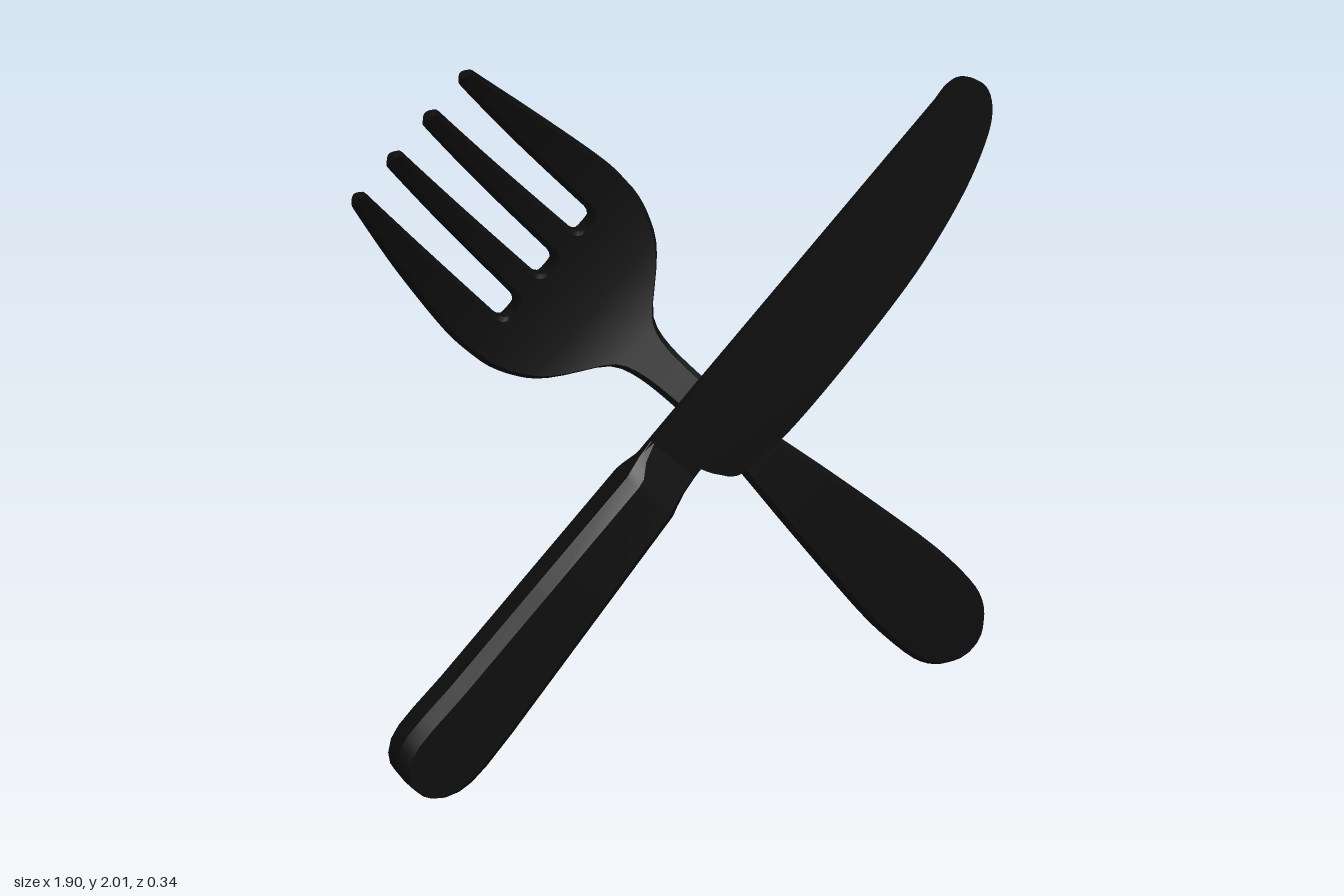
import * as THREE from 'three';
import { toCreasedNormals } from 'three/addons/utils/BufferGeometryUtils.js';

// Smooth interpolation through [x, y] pairs
function at(p, x) {
  let i = 0;
  while (i < p.length - 2 && x > p[i + 1][0]) i++;
  const slope = (k) => {
    const a = p[Math.max(k - 1, 0)], b = p[Math.min(k + 1, p.length - 1)];
    return (b[1] - a[1]) / (b[0] - a[0]);
  };
  const h = p[i + 1][0] - p[i][0];
  const f = THREE.MathUtils.clamp((x - p[i][0]) / h, 0, 1), g = 1 - f;
  return p[i][1] * (1 + 2 * f) * g * g + p[i + 1][1] * f * f * (3 - 2 * f)
    + h * f * g * (slope(i) * g - slope(i + 1) * f);
}

// Loft of bevelled rectangles { t, s0, s1, z0, z1 } along a direction in the front plane
function loft(sections, origin, angle, bevel) {
  const ux = Math.cos(angle), uy = Math.sin(angle);
  const pos = [], idx = [], n = 8;
  for (const { t, s0, s1, z0, z1 } of sections) {
    const b = Math.min(bevel, (s1 - s0) * 0.3, (z1 - z0) * 0.3);
    const ring = [[s1, z0 + b], [s1, z1 - b], [s1 - b, z1], [s0 + b, z1],
      [s0, z1 - b], [s0, z0 + b], [s0 + b, z0], [s1 - b, z0]];
    for (const [s, z] of ring) pos.push(origin[0] + t * ux - s * uy, origin[1] + t * uy + s * ux, z);
  }
  const last = (sections.length - 1) * n;
  for (let r = 0; r < last; r += n) {
    for (let j = 0; j < n; j++) {
      const a = r + j, b = r + (j + 1) % n;
      idx.push(a, b, a + n, b, b + n, a + n);
    }
  }
  for (let j = 1; j < n - 1; j++) idx.push(0, j + 1, j, last, last + j, last + j + 1);
  const g = new THREE.BufferGeometry();
  g.setAttribute('position', new THREE.Float32BufferAttribute(pos, 3));
  g.setIndex(idx);
  return toCreasedNormals(g, 0.6);
}

export function createModel() {
  const model = new THREE.Group();
  model.name = 'crossedForkAndKnife';
  const black = new THREE.MeshStandardMaterial({ color: 0x0d0d0d });
  black.name = 'black';
  const add = (parent, name, geometry) => {
    const mesh = new THREE.Mesh(geometry, black);
    mesh.name = name;
    parent.add(mesh);
  };

  // Fork: t runs from the handle end to the tine tips
  const fork = new THREE.Group();
  fork.name = 'fork';
  const forkOrigin = [0.91, 0.04], forkAngle = Math.atan2(0.729, -0.684);
  const halfWidth = [[0, 0.03], [0.01, 0.06], [0.04, 0.095], [0.08, 0.12], [0.13, 0.135], [0.22, 0.142],
    [0.35, 0.14], [0.55, 0.122], [0.8, 0.095], [1.02, 0.068], [1.15, 0.057], [1.33, 0.056], [1.42, 0.067],
    [1.467, 0.09], [1.5, 0.13], [1.533, 0.177], [1.588, 0.238], [1.65, 0.275], [1.721, 0.299], [1.775, 0.305],
    [1.863, 0.306], [2.067, 0.281], [2.47, 0.223], [2.5, 0.22]];
  const backZ = [[0, 0.015], [0.5, 0.03], [0.8, 0.035], [1.0, 0.025], [1.1, 0.01], [1.22, -0.025], [1.38, -0.095],
    [1.5, -0.145], [1.6, -0.168], [1.75, -0.173], [1.88, -0.163], [2.04, -0.13], [2.185, -0.075], [2.395, 0.055], [2.49, 0.13]];
  const thickness = [[0, 0.058], [0.8, 0.045], [1.2, 0.05], [1.55, 0.065], [1.8, 0.058], [2.2, 0.05], [2.49, 0.035]];
  const forkSection = (t, s0, s1) => {
    const z0 = at(backZ, t);
    return { t, s0, s1, z0, z1: z0 + at(thickness, t) };
  };

  // Handle, neck and palm in one piece
  const slotStart = 1.775;
  const body = [];
  for (const t of [0, 0.01, 0.022, 0.04, 0.06, 0.08, 0.105, 0.13, 0.17]) {
    body.push(forkSection(t, -at(halfWidth, t), at(halfWidth, t)));
  }
  for (let i = 0; i <= 60; i++) {
    const t = 0.22 + (slotStart - 0.22) * i / 60;
    body.push(forkSection(t, -at(halfWidth, t), at(halfWidth, t)));
  }
  add(fork, 'forkHandleAndPalm', loft(body, forkOrigin, forkAngle, 0.014));

  // Four tines separated by round-bottomed slots
  const tip = 2.495, round = 0.024, slotRadius = 0.033;
  const steps = [0, 0.002, 0.006, 0.012, 0.02, 0.033].map((d) => slotStart + d);
  for (let i = 1; i <= 24; i++) steps.push(slotStart + slotRadius + (tip - round - slotStart - slotRadius) * i / 24);
  steps.push(tip - 0.016, tip - 0.008, tip - 0.002);
  const edge = (k, side, t) => {
    if (Math.abs(k) === 2) return Math.sign(k) * at(halfWidth, t);
    const f = (t - slotStart) / (tip - slotStart);
    const d = Math.min(t - slotStart, slotRadius);
    const gap = Math.sqrt(Math.max(0, d * (2 * slotRadius - d))) + 0.009 * f;
    return k * (0.15 - 0.016 * f) + side * gap;
  };
  for (let k = -2; k < 2; k++) {
    const tine = steps.map((t) => {
      const a = edge(k, 1, t), b = edge(k + 1, -1, t), mid = (a + b) / 2;
      const q = Math.max(0, (t - tip + round) / round);
      const half = (b - a) / 2 * Math.sqrt(1 - q * q);
      return forkSection(t, mid - half, mid + half);
    });
    add(fork, 'tine' + (k + 3), loft(tine, forkOrigin, forkAngle, 0.012));
  }
  model.add(fork);

  // Knife handle with a tapered collar
  const knife = new THREE.Group();
  knife.name = 'knife';
  const handle = [[-0.122, -0.165, -0.08], [-0.115, -0.19, -0.055], [-0.095, -0.217, -0.028], [-0.06, -0.24, -0.006],
    [-0.02, -0.251, 0.003], [0.04, -0.254, 0.004], [0.15, -0.249, 0], [0.5, -0.222, 0], [0.87, -0.194, 0]]
    .map(([t, s0, s1]) => ({ t, s0, s1, z0: 0.03, z1: 0.157 }));
  handle.push({ t: 0.895, s0: -0.19, s1: 0, z0: 0.038, z1: 0.15 },
    { t: 0.935, s0: -0.187, s1: 0, z0: 0.07, z1: 0.125 },
    { t: 0.985, s0: -0.184, s1: 0, z0: 0.084, z1: 0.111 });
  add(knife, 'knifeHandle', loft(handle, [-0.83, 0.21], Math.atan2(0.698, 0.716), 0.03));

  // Thin blade with a straight spine and a curved cutting edge
  const blade = new THREE.Shape();
  blade.moveTo(-0.22, 0.802);
  blade.lineTo(-0.1, 0.66);
  blade.lineTo(0.02, 0.79);
  blade.splineThru([[0.07, 0.765], [0.14, 0.752], [0.24, 0.815], [0.34, 0.9], [0.5, 1.06], [0.67, 1.25],
    [0.8, 1.44], [0.87, 1.59], [0.885, 1.68], [0.86, 1.745], [0.8, 1.772], [0.755, 1.757], [0.72, 1.72]]
    .map(([x, y]) => new THREE.Vector2(x, y)));
  blade.closePath();
  const bladeGeometry = new THREE.ExtrudeGeometry(blade, { depth: 0.024, bevelEnabled: false, curveSegments: 5 });
  bladeGeometry.translate(0, 0, 0.085);
  add(knife, 'blade', toCreasedNormals(bladeGeometry, 0.6));
  model.add(knife);

  return model;
}
